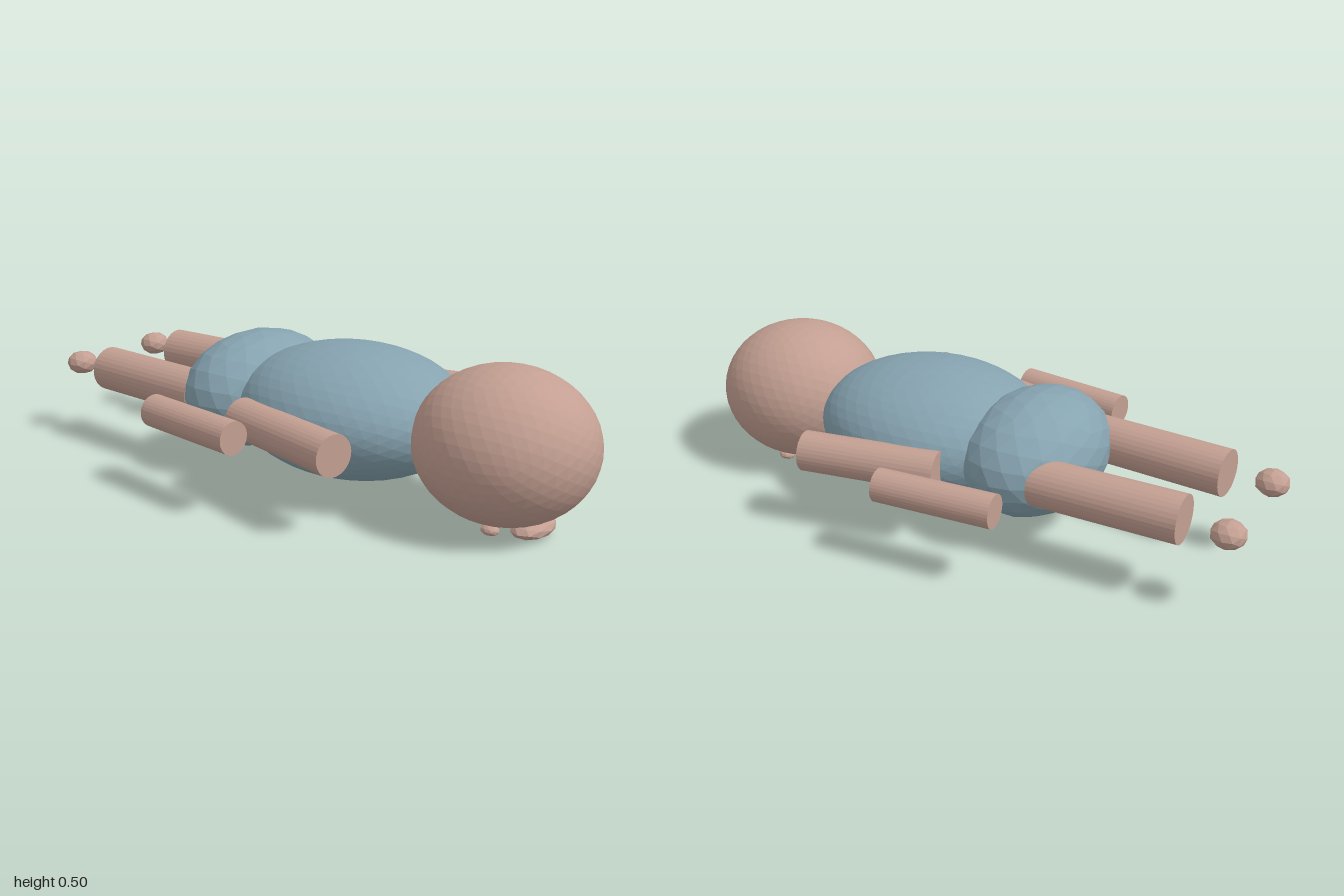
import * as THREE from 'three';

export function createModel() {
  const model = new THREE.Group();
  model.name = 'lyingFigure';

  const skin = new THREE.MeshStandardMaterial({ color: 0xc39f92, flatShading: true });
  skin.name = 'skin';
  const cloth = new THREE.MeshStandardMaterial({ color: 0x86a3b0, flatShading: true });
  cloth.name = 'blueCloth';

  // Faceted ellipsoid from a subdivided icosahedron
  function ellipsoid(name, material, [x, y, z], [rx, ry, rz], detail) {
    const geometry = new THREE.IcosahedronGeometry(1, detail).scale(rx, ry, rz);
    const mesh = new THREE.Mesh(geometry, material);
    mesh.name = name;
    mesh.position.set(x, y, z);
    model.add(mesh);
  }

  // Straight cylinder running between two points
  function limb(name, from, to, radius) {
    const a = new THREE.Vector3(...from);
    const b = new THREE.Vector3(...to);
    const axis = b.clone().sub(a);
    const mesh = new THREE.Mesh(new THREE.CylinderGeometry(radius, radius, axis.length(), 32), skin);
    mesh.name = name;
    mesh.position.copy(a).add(b).multiplyScalar(0.5);
    mesh.quaternion.setFromUnitVectors(new THREE.Vector3(0, 1, 0), axis.normalize());
    model.add(mesh);
  }

  // Body, lying face down with the head toward +z
  ellipsoid('head', skin, [0, 0.261, 0.717], [0.267, 0.238, 0.283], 7);
  ellipsoid('torso', cloth, [0, 0.261, 0.155], [0.33, 0.21, 0.4], 7);
  ellipsoid('pelvis', cloth, [0, 0.262, -0.235], [0.3, 0.194, 0.22], 3);

  // Small features on the underside
  ellipsoid('muzzle', skin, [0, 0.032, 0.822], [0.092, 0.031, 0.06], 1);
  ellipsoid('bellyButton', skin, [0, 0.067, -0.015], [0.052, 0.03, 0.052], 1);

  // Mirrored parts
  for (const [side, s] of [['left', 1], ['right', -1]]) {
    ellipsoid(side + 'Cheek', skin, [s * 0.098, 0.028, 0.735], [0.024, 0.016, 0.03], 1);
    limb(side + 'UpperArm', [s * 0.297, 0.26, -0.052], [s * 0.395, 0.26, 0.39], 0.065);
    limb(side + 'Forearm', [s * 0.413, 0.258, -0.325], [s * 0.457, 0.258, 0.06], 0.053);
    limb(side + 'Leg', [s * 0.189, 0.26, -0.335], [s * 0.168, 0.26, -0.808], 0.076);
    ellipsoid(side + 'Foot', skin, [s * 0.18, 0.261, -0.946], [0.054, 0.042, 0.054], 1);
  }
  return model;
}
